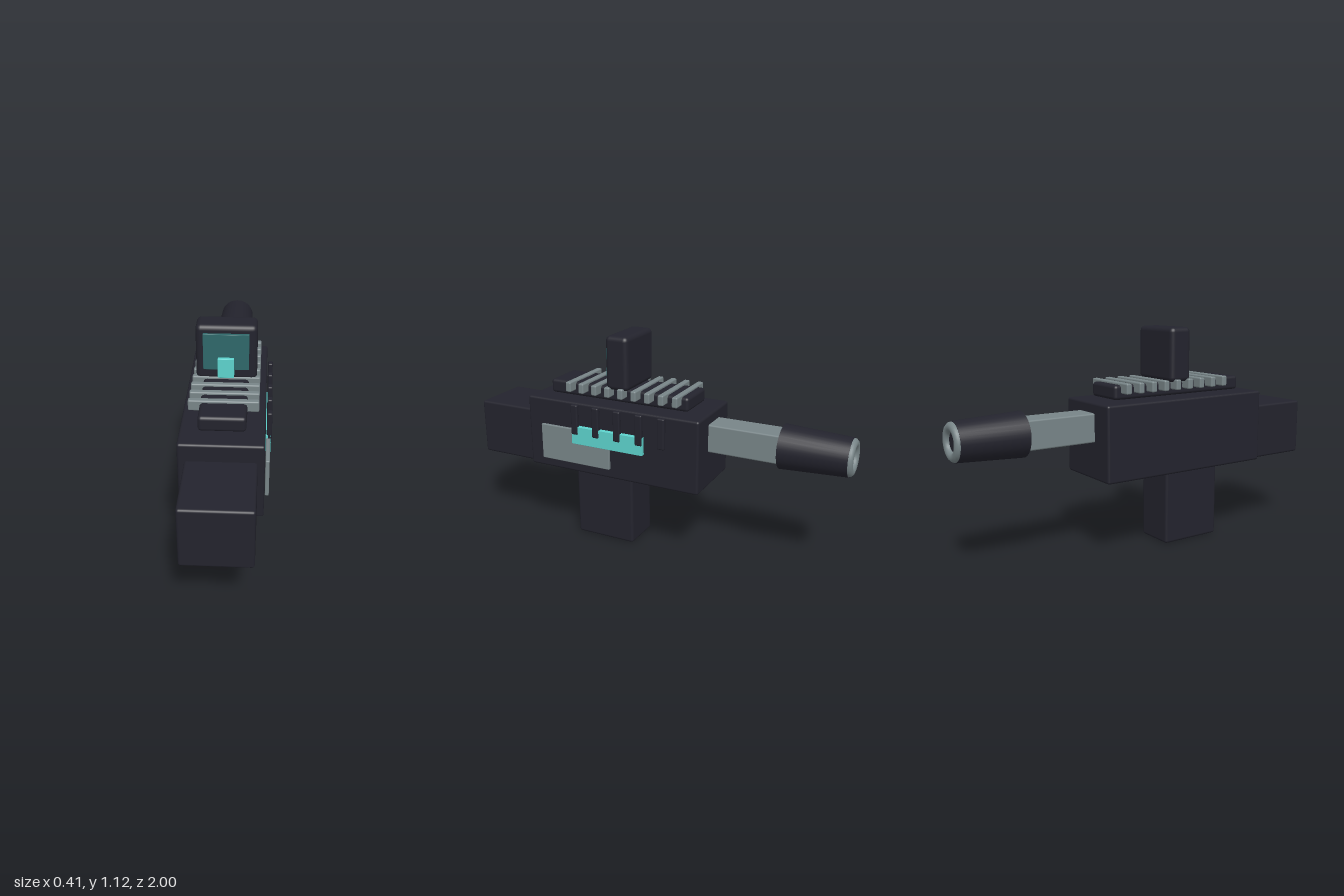
import * as THREE from 'three';
import { RoundedBoxGeometry } from 'three/addons/geometries/RoundedBoxGeometry.js';

function paint(name, color) {
  const m = new THREE.MeshStandardMaterial({ color });
  m.name = name;
  return m;
}

export function createModel() {
  const dark = paint('dark casing', 0x23232d);
  const grey = paint('grey metal', 0x788588);
  const cyan = paint('bright cyan', 0x5dd3cd);
  const teal = paint('dark teal glass', 0x2f686a);
  const group = new THREE.Group();
  const midX = -0.016;
  const axisY = 0.652;

  const add = (name, geometry, material) => {
    const mesh = new THREE.Mesh(geometry, material);
    mesh.name = name;
    group.add(mesh);
    return mesh;
  };

  // Box given by its [min, max] range on each axis, with rounded edges
  const box = (name, material, x, y, z, radius = 0.005) => {
    const size = [x, y, z].map(([a, b]) => b - a);
    const mesh = add(name, new RoundedBoxGeometry(...size, 3, radius), material);
    mesh.position.set(...[x, y, z].map(([a, b]) => (a + b) / 2));
    return mesh;
  };

  // Main masses
  box('receiver', dark, [-0.205, 0.173], [0.396, 0.774], [-0.3, 0.668], 0.012);
  box('stock', dark, [-0.174, 0.142], [0.398, 0.69], [0.64, 1], 0.012);
  box('grip', dark, [-0.122, 0.089], [0, 0.42], [0.105, 0.44], 0.014);

  // Top rail with cross ribs
  box('topRail', dark, [-0.122, 0.089], [0.782, 0.854], [-0.207, 0.576], 0.016);
  for (let i = 0; i < 9; i++) {
    const z = -0.157 + i * 0.0746;
    box('railRib', grey, [-0.175, 0.142], [0.813, 0.865], [z - 0.015, z + 0.015], 0.007);
  }

  // Sight block with its screen and marker
  box('sightHousing', dark, [-0.157, 0.126], [0.85, 1.122], [0.105, 0.228], 0.024);
  box('sightScreen', teal, [-0.122, 0.089], [0.909, 1.086], [0.222, 0.242], 0.002);
  box('sightMarker', cyan, [-0.054, 0.021], [0.877, 0.972], [0.226, 0.262], 0.002);

  // Left side panel, glowing strip and cooling slats
  box('sidePanel', grey, [0.176, 0.194], [0.45, 0.638], [0.18, 0.58], 0.004);
  box('energyStrip', cyan, [0.174, 0.198], [0.561, 0.655], [-0.01, 0.393], 0.002);
  for (let i = 0; i < 5; i++) {
    const z = -0.112 + i * 0.1215;
    box('sideSlat', dark, [0.178, 0.202], [0.612, 0.77], [z - 0.019, z + 0.019], 0.007);
  }

  // Square barrel
  box('barrel', grey, [midX - 0.07, midX + 0.07], [0.582, 0.724], [-0.68, -0.28], 0.008);

  // Tapered muzzle pointing backwards
  const muzzle = add('muzzle', new THREE.CylinderGeometry(0.093, 0.109, 0.325, 32), dark);
  muzzle.rotation.x = -Math.PI / 2;
  muzzle.position.set(midX, axisY, -0.8165);

  // Ring around the bore
  const ring = add('muzzleRing', new THREE.TorusGeometry(0.068, 0.024, 12, 32), grey);
  ring.position.set(midX, axisY, -0.976);

  return group;
}
